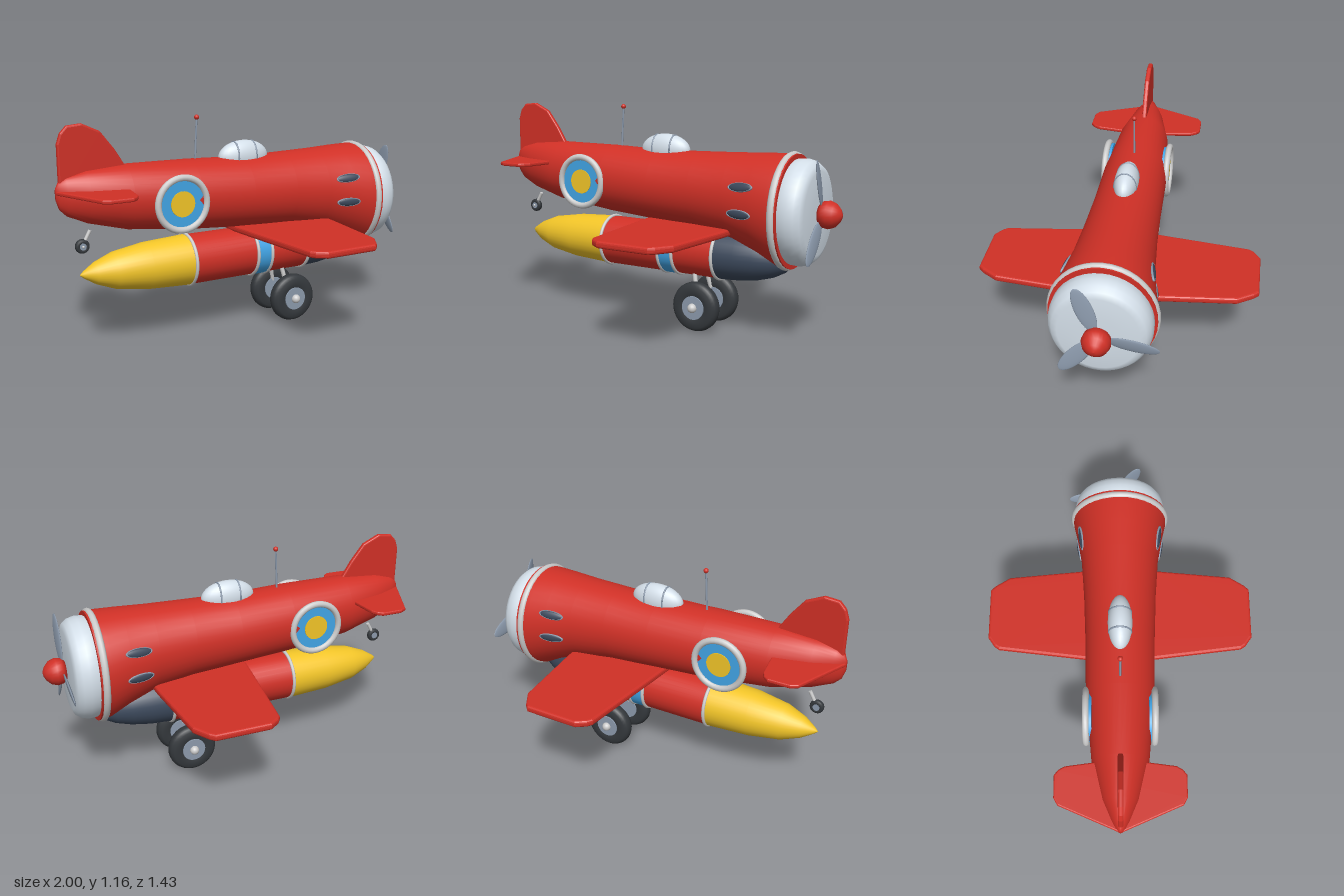
import * as THREE from 'three';

const mat = (color) => new THREE.MeshStandardMaterial({ color, roughness: 0.6 });
const RED = mat(0xd03026), YELLOW = mat(0xf2c528), BLUE = mat(0x42a5e6), DARK = mat(0x3c495c);
const SILVER = mat(0xd3dee8), STEEL = mat(0x8c9aac), TIRE = mat(0x34383c), GREY = mat(0xcccccc);

function add(parent, name, geo, material, x = 0, y = 0, z = 0) {
  const m = new THREE.Mesh(geo, material);
  m.name = name;
  m.position.set(x, y, z);
  parent.add(m);
  return m;
}

// Surface of revolution along the x axis from [x, radius] pairs
const turned = (pts, seg = 32) =>
  new THREE.LatheGeometry(pts.map(([x, r]) => new THREE.Vector2(r, x)), seg).rotateZ(-Math.PI / 2);

// Ring around the x axis
const hoop = (r, tube) => new THREE.TorusGeometry(r, tube, 10, 40).rotateY(Math.PI / 2);

// Elliptical loft along x from [x, bottom, top, halfWidth] sections
function loft(sections, n = 36) {
  const pos = [], idx = [];
  sections.forEach(([x, lo, hi, w], i) => {
    for (let j = 0; j < n; j++) {
      const a = (j / n) * Math.PI * 2;
      pos.push(x, (lo + hi) / 2 + Math.cos(a) * (hi - lo) / 2, Math.sin(a) * w);
      if (i === sections.length - 1) continue;
      const k = (j + 1) % n, p = i * n, q = p + n;
      idx.push(p + j, p + k, q + k, p + j, q + k, q + j);
    }
  });
  const g = new THREE.BufferGeometry();
  g.setAttribute('position', new THREE.Float32BufferAttribute(pos, 3));
  g.setIndex(idx);
  g.computeVertexNormals();
  return g;
}

// Flat plate with softened edges, centred on its thickness
function plate(pts, thick) {
  const b = thick * 0.35;
  return new THREE.ExtrudeGeometry(new THREE.Shape(pts.map((p) => new THREE.Vector2(...p))), {
    depth: thick - 2 * b, bevelEnabled: true, bevelThickness: b, bevelSize: b, bevelOffset: -b, bevelSegments: 3,
  }).translate(0, 0, b - thick / 2);
}

// Horizontal plate mirrored across z = 0 from the outline of one half
const mirroredPlate = (half, thick) =>
  plate([...half, ...half.map(([x, z]) => [x, -z]).reverse()], thick).rotateX(Math.PI / 2);

function rod(parent, name, a, b, r, material) {
  const A = new THREE.Vector3(...a), B = new THREE.Vector3(...b), d = B.clone().sub(A);
  const m = add(parent, name, new THREE.CylinderGeometry(r, r, d.length(), 12), material);
  m.position.copy(A).add(B).multiplyScalar(0.5);
  m.quaternion.setFromUnitVectors(new THREE.Vector3(0, 1, 0), d.normalize());
}

function wheel(parent, name, x, y, z, r, width, side) {
  const g = new THREE.Group();
  g.name = name;
  g.position.set(x, y, z);
  const h = width / 2, e = r * 0.16;
  // Rounded tyre profile, revolved about the axle
  const profile = [[r * 0.4, -h * 0.75], [r * 0.6, -h], [r - e, -h * 0.92], [r - e * 0.3, -h * 0.65], [r, -h * 0.25],
    [r, h * 0.25], [r - e * 0.3, h * 0.65], [r - e, h * 0.92], [r * 0.6, h], [r * 0.4, h * 0.75]];
  add(g, 'tire', new THREE.LatheGeometry(profile.map((p) => new THREE.Vector2(...p)), 36).rotateX(Math.PI / 2), TIRE);
  add(g, 'hub', new THREE.CylinderGeometry(r * 0.48, r * 0.48, width * 1.04, 28).rotateX(Math.PI / 2), STEEL);
  add(g, 'hubCap', new THREE.SphereGeometry(r * 0.19, 16, 12), GREY, 0, 0, side * h * 1.12);
  parent.add(g);
}

export function createModel() {
  const plane = new THREE.Group();
  plane.name = 'airplane';

  // Fuselage
  add(plane, 'fuselage', loft([
    [-1, 0.82, 0.82, 0], [-1, 0.79, 0.85, 0.01], [-0.985, 0.745, 0.88, 0.025], [-0.95, 0.71, 0.9, 0.045],
    [-0.85, 0.665, 0.925, 0.09], [-0.65, 0.612, 0.94, 0.142], [-0.3, 0.572, 0.936, 0.174], [0, 0.55, 0.925, 0.18],
    [0.25, 0.53, 0.93, 0.19], [0.45, 0.495, 0.935, 0.205], [0.6, 0.435, 0.942, 0.23], [0.7, 0.385, 0.944, 0.252],
    [0.765, 0.375, 0.944, 0.258], [0.765, 0.375, 0.944, 0.258], [0.765, 0.66, 0.66, 0],
  ]), RED);

  // Cowling
  add(plane, 'cowlRing', hoop(0.276, 0.019), GREY, 0.74, 0.66, 0).scale.z = 0.91;
  add(plane, 'cowl', turned([[0.75, 0.25], [0.77, 0.262], [0.81, 0.264], [0.845, 0.255], [0.87, 0.235],
    [0.882, 0.205], [0.887, 0.1], [0.888, 0]], 40), SILVER, 0, 0.66, 0).scale.z = 0.93;

  // Propeller
  add(plane, 'spinner', turned([[0.88, 0], [0.885, 0.045], [0.905, 0.064], [0.935, 0.069], [0.965, 0.058],
    [0.988, 0.034], [0.997, 0.015], [1, 0]], 24), RED, 0, 0.66, 0);
  const propeller = new THREE.Group();
  propeller.name = 'propeller';
  propeller.position.set(0.902, 0.66, 0);
  for (let i = 0; i < 3; i++) {
    const pivot = new THREE.Group();
    pivot.name = 'bladePivot';
    pivot.rotation.x = THREE.MathUtils.degToRad(20 + i * 120);
    const blade = add(pivot, 'blade', new THREE.SphereGeometry(1, 20, 20), STEEL, 0, 0.163, 0);
    blade.scale.set(0.008, 0.125, 0.041);
    blade.rotation.y = 0.2;
    propeller.add(pivot);
  }
  plane.add(propeller);

  // Wings and tail surfaces
  add(plane, 'wing', mirroredPlate([[-0.065, 0], [-0.045, 0.18], [0.013, 0.655], [0.03, 0.68], [0.08, 0.715],
    [0.36, 0.715], [0.385, 0.69], [0.435, 0.61], [0.475, 0.2], [0.485, 0]], 0.036), RED, 0, 0.548, 0);
  add(plane, 'tailplane', mirroredPlate([[-1, 0.01], [-0.875, 0.3], [-0.84, 0.32], [-0.73, 0.32], [-0.705, 0.3],
    [-0.688, 0.27], [-0.665, 0.1], [-0.66, 0]], 0.02), RED, 0, 0.828, 0);
  add(plane, 'fin', plate([[-0.985, 0.8], [-0.65, 0.8], [-0.65, 0.94], [-0.7, 1.02], [-0.77, 1.11], [-0.86, 1.152],
    [-0.935, 1.145], [-0.968, 1.11], [-0.985, 1.06]].map(([x, y]) => [x, y]), 0.026), RED);

  // Canopy with frame bands
  add(plane, 'canopy', new THREE.SphereGeometry(1, 28, 20), SILVER, 0.02, 0.925, 0).scale.set(0.145, 0.086, 0.062);
  for (const x of [-0.033, 0.073]) {
    add(plane, 'canopyBand', hoop(1, 0.05), STEEL, x, 0.925, 0).scale.set(0.09, 0.08, 0.058);
  }

  // Antenna
  rod(plane, 'antenna', [-0.262, 0.92, 0], [-0.25, 1.145, 0], 0.005, STEEL);
  add(plane, 'antennaTip', new THREE.SphereGeometry(0.013, 14, 10), RED, -0.25, 1.146, 0);

  // Side roundels, exhaust vents and main landing gear
  const disc = (r) => new THREE.CylinderGeometry(r, r, 0.03, 36).rotateX(Math.PI / 2);
  for (const s of [1, -1]) {
    add(plane, 'roundelRim', new THREE.TorusGeometry(0.132, 0.017, 10, 40), GREY, -0.415, 0.745, s * 0.171);
    add(plane, 'roundelField', disc(0.128), BLUE, -0.415, 0.745, s * 0.157);
    add(plane, 'roundelCentre', disc(0.065), YELLOW, -0.415, 0.745, s * 0.161);
    for (const [y, z, tilt] of [[0.79, 0.207, -0.35], [0.66, 0.222, 0.1]]) {
      const vent = new THREE.Group();
      vent.name = 'exhaustVent';
      vent.position.set(0.56, y, s * z);
      vent.rotation.set(s * tilt, -s * 0.16, 0);
      add(vent, 'opening', new THREE.SphereGeometry(1, 24, 14), DARK).scale.set(0.067, 0.022, 0.011);
      add(vent, 'rim', new THREE.TorusGeometry(1, 0.08, 8, 32), STEEL).scale.set(0.066, 0.022, 0.07);
      plane.add(vent);
    }
    wheel(plane, 'mainWheel', 0.27, 0.133, s * 0.108, 0.13, 0.078, s);
    rod(plane, 'gearStrut', [0.225, 0.33, s * 0.055], [0.268, 0.14, s * 0.085], 0.012, GREY);
  }

  // Tail wheel
  wheel(plane, 'tailWheel', -0.88, 0.552, 0, 0.036, 0.03, 1);
  rod(plane, 'tailStrut', [-0.88, 0.552, 0], [-0.838, 0.628, 0], 0.009, GREY);

  // Belly tank
  const tank = new THREE.Group();
  tank.name = 'bellyTank';
  tank.position.y = 0.406;
  add(tank, 'tankTail', turned([[-0.9, 0], [-0.88, 0.018], [-0.82, 0.056], [-0.72, 0.095], [-0.55, 0.122], [-0.32, 0.134]]), YELLOW);
  add(tank, 'tankBody', turned([[-0.32, 0.132], [0.365, 0.132]]), RED);
  add(tank, 'tankBand', turned([[0.045, 0.136], [0.13, 0.136]]), BLUE);
  add(tank, 'tankNose', turned([[0.36, 0.134], [0.48, 0.128], [0.58, 0.113], [0.66, 0.09], [0.72, 0.058], [0.742, 0.03], [0.75, 0]]), DARK);
  for (const x of [-0.32, 0.045, 0.13, 0.365]) add(tank, 'tankRing', hoop(0.134, 0.009), GREY, x);
  plane.add(tank);

  return plane;
}
